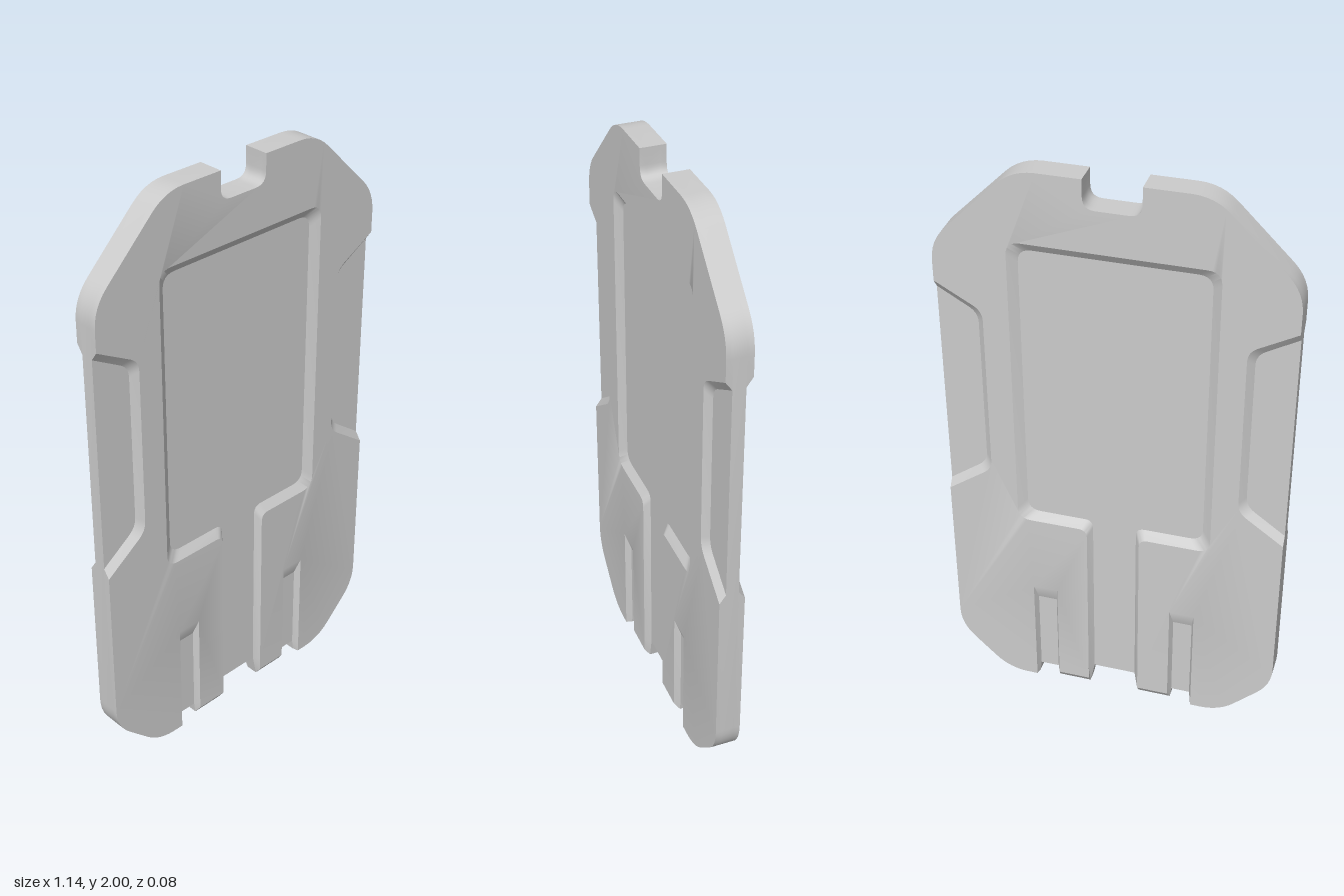
import * as THREE from 'three';
import { mergeGeometries, toCreasedNormals } from 'three/addons/utils/BufferGeometryUtils.js';

const FACE = 0.042;   // half thickness at the raised face
const FLOOR = 0.021;  // half thickness at the recess floors
const material = new THREE.MeshStandardMaterial({ color: 0xcccccc, side: THREE.DoubleSide });

// Turns corners [x, y, roundingDistance] of the right half into a closed, mirrored outline
function outline(corners, steps = 6) {
  const half = [];
  corners.forEach(([x, y, r], i) => {
    const p = new THREE.Vector2(x, y);
    if (!r) { half.push(p); return; }
    const toward = ([cx, cy]) => new THREE.Vector2(cx, cy).sub(p).setLength(r).add(p);
    const curve = new THREE.QuadraticBezierCurve(toward(corners[i - 1]), p, toward(corners[i + 1]));
    half.push(...curve.getPoints(steps));
  });
  const left = half.filter(p => p.x > 1e-6).reverse().map(p => new THREE.Vector2(-p.x, p.y));
  return half.concat(left);
}

// Shared outer corners: top notch, shoulders, lower chamfers
const upper = [[0, 1.905], [0.09, 1.905, 0.04], [0.09, 2], [0.30, 2, 0.07], [0.568, 1.735, 0.07]];
const lower = [[0.568, 0.175, 0.07], [0.39, 0, 0.07]];

// Raised face edge: side recess, slot, prong, channel, panel
const faceCorners = [
  ...upper,
  [0.568, 1.595], [0.415, 1.51, 0.035], [0.415, 0.905, 0.035], [0.568, 0.795],
  ...lower,
  [0.285, 0], [0.285, 0.04], [0.285, 0.42], [0.2, 0.42], [0.2, 0.06], [0.2, 0.03],
  [0.09, 0.03], [0.09, 0.08],
  [0.09, 0.715, 0.03], [0.33, 0.715, 0.045], [0.33, 1.765, 0.045], [0, 1.765],
];

// Foot of the sloping recess walls, corner for corner
const floorCorners = [
  ...upper,
  [0.568, 1.565], [0.437, 1.49, 0.035], [0.437, 0.92, 0.035], [0.568, 0.825],
  ...lower,
  [0.28, 0], [0.275, 0.04], [0.275, 0.36], [0.21, 0.36], [0.21, 0.04], [0.205, 0],
  [0.09, 0], [0.074, 0.08],
  [0.074, 0.745, 0.03], [0.30, 0.745, 0.045], [0.30, 1.735, 0.045], [0, 1.735],
];

// Core slab edge, with short slots and channel at the bottom
const coreCorners = [
  ...upper, ...lower,
  [0.28, 0], [0.275, 0.04], [0.21, 0.04], [0.205, 0], [0.09, 0], [0.074, 0.08], [0, 0.08],
];

// Flat raised face plus the strip of walls down to the recess floor
function raisedPlate() {
  const top = outline(faceCorners), foot = outline(floorCorners);
  const face = new THREE.ShapeGeometry(new THREE.Shape(top)).toNonIndexed();
  face.translate(0, 0, FACE);
  face.deleteAttribute('uv');
  face.deleteAttribute('normal');

  const pos = [];
  top.forEach((a, i) => {
    const j = (i + 1) % top.length;
    const aT = [a.x, a.y, FACE], bT = [top[j].x, top[j].y, FACE];
    const aF = [foot[i].x, foot[i].y, FLOOR], bF = [foot[j].x, foot[j].y, FLOOR];
    pos.push(...aT, ...bT, ...bF, ...aT, ...bF, ...aF);
  });
  const walls = new THREE.BufferGeometry();
  walls.setAttribute('position', new THREE.Float32BufferAttribute(pos, 3));
  return toCreasedNormals(mergeGeometries([face, walls]), 0.5);
}

export function createModel() {
  const model = new THREE.Group();
  model.name = 'recessedPlate';
  const add = (name, geometry) => {
    const mesh = new THREE.Mesh(geometry, material);
    mesh.name = name;
    model.add(mesh);
    return mesh;
  };

  // Core slab forming all recess floors
  const core = new THREE.ExtrudeGeometry(new THREE.Shape(outline(coreCorners)),
    { depth: 2 * FLOOR, bevelEnabled: false });
  core.translate(0, 0, -FLOOR);
  add('coreSlab', toCreasedNormals(core, 0.5));

  // Identical raised faces on both sides
  const plate = raisedPlate();
  add('frontFace', plate);
  add('backFace', plate).rotation.y = Math.PI;

  return model;
}
